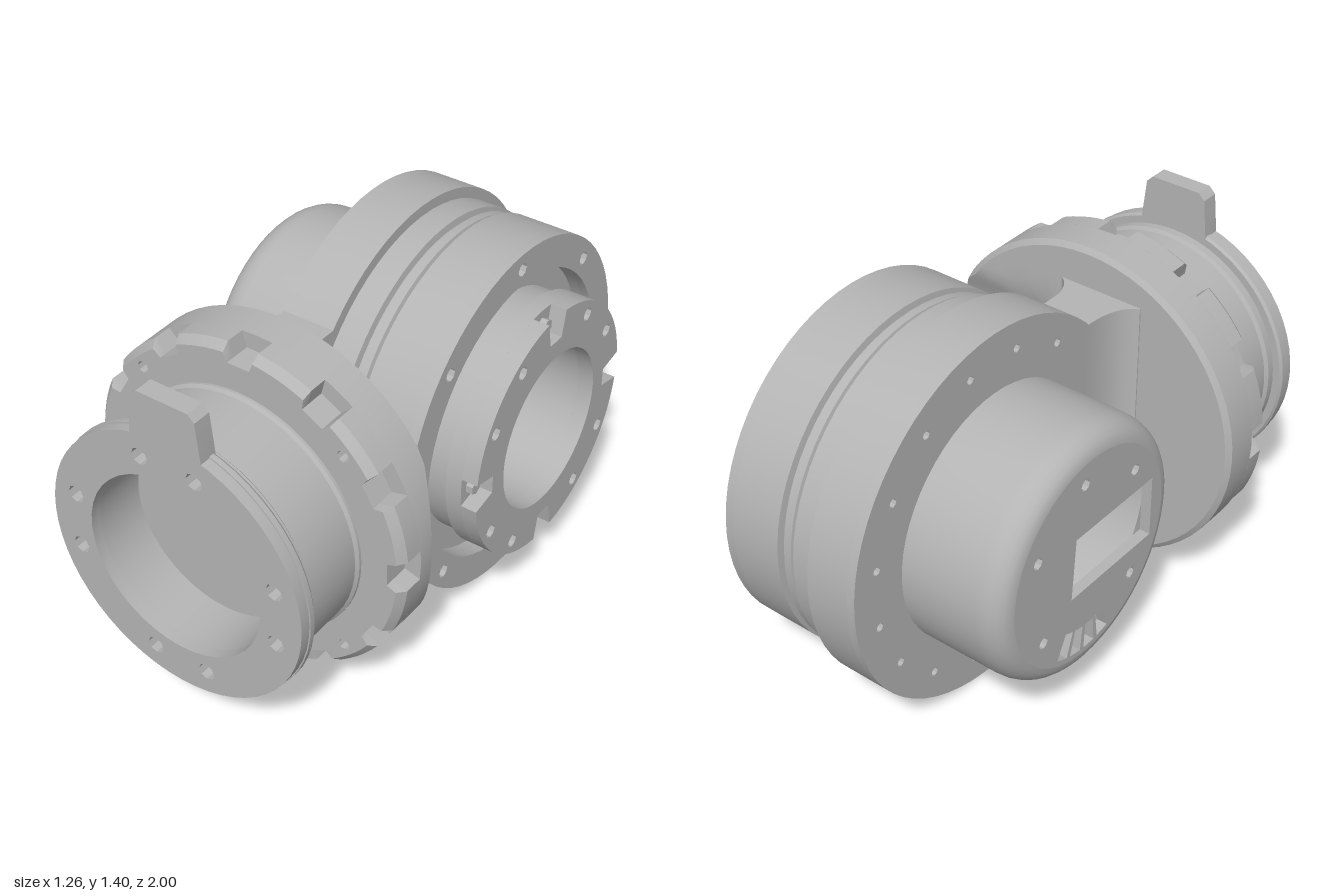
import * as THREE from 'three';
import { toCreasedNormals } from 'three/addons/utils/BufferGeometryUtils.js';

const TAU = Math.PI * 2;
const grey = new THREE.MeshStandardMaterial({ color: 0xb4b4b4 });
grey.name = 'machined grey';

function add(parent, name, geometry) {
  const mesh = new THREE.Mesh(toCreasedNormals(geometry, 0.5), grey);
  mesh.name = name;
  parent.add(mesh);
  return mesh;
}

// Turned part around local z; profile points are [radius, z], counter-clockwise.
function turned(profile, segments = 56) {
  const pts = profile.map(([r, z]) => new THREE.Vector2(r, z));
  return new THREE.LatheGeometry(pts, segments).rotateX(Math.PI / 2);
}

function polar(r, a) {
  return new THREE.Vector2(r * Math.cos(a), r * Math.sin(a));
}

function circle(r, n = 56, x = 0, y = 0) {
  return Array.from({ length: n }, (_, i) => polar(r, (i / n) * TAU).add(new THREE.Vector2(x, y)));
}

// Circular outline with evenly spaced rim notches.
function notched(R, r, count, half) {
  const pts = [];
  const step = TAU / count;
  const arcs = Math.ceil(56 / count);
  for (let k = 0; k < count; k++) {
    const a = k * step;
    pts.push(polar(r, a - half * 0.8), polar(r, a + half * 0.8));
    for (let i = 0; i <= arcs; i++) pts.push(polar(R, a + half + (i / arcs) * (step - 2 * half)));
  }
  return pts;
}

// Round holes at the given angles on a bolt circle.
function boltHoles(radius, angles, size) {
  return angles.map((a) => {
    const c = polar(radius, a);
    return circle(size, 8, c.x, c.y);
  });
}

function arcSlot(r0, r1, a0, a1, n = 5) {
  const pts = [];
  for (let i = 0; i <= n; i++) pts.push(polar(r1, a0 + ((a1 - a0) * i) / n));
  for (let i = n; i >= 0; i--) pts.push(polar(r0, a0 + ((a1 - a0) * i) / n));
  return pts;
}

const spread = (n, offset = 0) => Array.from({ length: n }, (_, i) => offset + (i / n) * TAU);

// Flat part with holes, from z0 to z1.
function plate(outline, holes, z0, z1) {
  const shape = new THREE.Shape(outline);
  shape.holes = holes.map((h) => new THREE.Path(h));
  return new THREE.ExtrudeGeometry(shape, { depth: z1 - z0, bevelEnabled: false }).translate(0, 0, z0);
}

// Sideways rotary unit; its local z runs along the model's x.
function buildCrossUnit() {
  const unit = new THREE.Group();
  unit.name = 'crossUnit';
  unit.rotation.y = Math.PI / 2;
  unit.position.set(0, 0.7, -0.3);

  add(unit, 'crossHousing', turned([
    [0.3, -0.12], [0.7, -0.12], [0.7, 0.05], [0.66, 0.05], [0.66, 0.15], [0.635, 0.155],
    [0.635, 0.165], [0.65, 0.17], [0.65, 0.2], [0.635, 0.205], [0.635, 0.215], [0.66, 0.22],
    [0.66, 0.42], [0.54, 0.42], [0.54, 0.38], [0.45, 0.38], [0.45, 0.48], [0.47, 0.48],
    [0.47, 0.54], [0.3, 0.54], [0.3, -0.12],
  ], 64));
  add(unit, 'backPlate', plate(circle(0.7, 64),
    [circle(0.3), ...boltHoles(0.6, spread(16, TAU / 32), 0.016)], -0.15, -0.12));
  add(unit, 'outerBoltRing', plate(circle(0.66, 64),
    [circle(0.54), ...boltHoles(0.6, spread(8), 0.026)], 0.42, 0.455));

  // Output ring with four open pockets between the bolt holes
  const bolts = spread(12).filter((_, i) => i % 3 !== 0);
  add(unit, 'outputRing', plate(notched(0.47, 0.37, 4, 0.12),
    [circle(0.3), ...boltHoles(0.42, bolts, 0.026)], 0.54, 0.6));
  for (const a of spread(4)) {
    const p = polar(0.415, a);
    const bolt = new THREE.CylinderGeometry(0.027, 0.027, 0.03, 6).rotateX(Math.PI / 2);
    add(unit, 'pocketBolt', bolt.translate(p.x, p.y, 0.55));
  }

  // Floor inside the bore
  add(unit, 'boreFloor', plate(circle(0.302),
    [circle(0.11, 14), arcSlot(0.25, 0.285, Math.PI - 0.45, Math.PI + 0.45)], -0.13, -0.1));
  add(unit, 'boreRim', plate(circle(0.245, 14), [circle(0.215, 14)], -0.1, -0.06));

  // Hollow rounded end cap
  const profile = [[0.44, -0.15], [0.44, -0.45], [0.38, -0.51], [0.4, -0.55]];
  for (let i = 1; i <= 6; i++) {
    const t = (i / 6) * (Math.PI / 2);
    profile.push([0.4 + 0.075 * Math.sin(t), -0.45 - 0.1 * Math.cos(t)]);
  }
  profile.push([0.475, -0.15], [0.44, -0.15]);
  add(unit, 'endCap', turned(profile));

  // Cap face: access window, screw holes and a fan of vents
  const windowHole = [[-0.34, -0.12], [0.1, -0.12], [0.08, 0.12], [-0.34, 0.12]]
    .map(([x, y]) => new THREE.Vector2(x, y));
  const vents = [0, 1, 2, 3].map((i) => arcSlot(0.28, 0.38, -1.85 + i * 0.2, -1.7 + i * 0.2, 2));
  add(unit, 'capFace', plate(circle(0.4),
    [windowHole, ...vents, ...boltHoles(0.32, [0.5, 1.45, 2.4, 3.9, 5.6], 0.022)], -0.55, -0.51));
  return unit;
}

// Front-facing rotary unit along z.
function buildFrontUnit() {
  const unit = new THREE.Group();
  unit.name = 'frontUnit';
  unit.position.y = 0.7;

  // Collar, relieved on its left rear to clear the cross housing
  const back = [0, 0.1, 0.2, 0.3, 0.4, 0.5, 0.56, 0.61].map((r) => [r, 0.4]);
  const collar = turned([...back, [0.63, 0.415], [0.63, 0.54], [0, 0.54]], 64);
  const cp = collar.attributes.position;
  for (let i = 0; i < cp.count; i++) {
    const y = cp.getY(i);
    if (cp.getX(i) > 0.06 && cp.getZ(i) < 0.5) {
      cp.setZ(i, Math.max(cp.getZ(i), -0.3 + Math.sqrt(0.78 * 0.78 - y * y)));
    }
  }
  add(unit, 'collar', collar);

  // Notched front half of the collar with a chamfered rim
  const crown = plate(notched(0.63, 0.57, 12, 0.095),
    [circle(0.45), ...boltHoles(0.566, spread(4, TAU / 8), 0.022)], 0.54, 0.61);
  add(unit, 'notchedCollar', crown);
  const chamfer = plate(notched(0.63, 0.57, 12, 0.095),
    [circle(0.45), ...boltHoles(0.566, spread(4, TAU / 8), 0.022)], 0.61, 0.64);
  const p = chamfer.attributes.position;
  for (let i = 0; i < p.count; i++) {
    const r = Math.hypot(p.getX(i), p.getY(i));
    if (p.getZ(i) > 0.63 && r > 0.62) p.setXY(i, (p.getX(i) * 0.605) / r, (p.getY(i) * 0.605) / r);
  }
  add(unit, 'collarChamfer', chamfer);

  add(unit, 'neck', turned([
    [0.47, 0.54], [0.47, 0.65], [0.46, 0.66], [0.46, 0.89], [0.472, 0.9], [0.472, 0.93],
    [0.5, 0.93], [0.508, 0.94], [0.508, 0.96], [0.345, 0.96], [0.345, 0.77], [0, 0.77],
  ]));
  const pairs = spread(4).flatMap((a) => [a - TAU / 24, a + TAU / 24]);
  add(unit, 'frontFlange', plate(circle(0.503),
    [circle(0.345, 40), ...boltHoles(0.415, pairs, 0.032)], 0.96, 1));

  // Locating tab on top of the flange
  const half = [[0.14, 0.46], [0.14, 0.49], [0.125, 0.63], [0.1, 0.655]];
  const tab = [...half, ...half.map(([x, y]) => [-x, y]).reverse()];
  add(unit, 'locatingTab', plate(tab.map(([x, y]) => new THREE.Vector2(x, y)), [], 0.93, 1));
  return unit;
}

// Flared web joining the two units
function buildBracket(parent) {
  const s = new THREE.Shape();
  s.moveTo(-0.15, -0.41);
  s.lineTo(-0.23, -0.41);
  s.lineTo(-0.23, -0.395);
  s.quadraticCurveTo(-0.15, -0.36, -0.15, -0.2);
  s.lineTo(-0.15, -0.1);
  s.lineTo(0.05, -0.1);
  s.lineTo(0.05, -0.3);
  s.quadraticCurveTo(0.06, -0.37, 0.11, -0.4);
  s.lineTo(0.11, -0.48);
  s.lineTo(-0.15, -0.48);
  const geometry = new THREE.ExtrudeGeometry(s, { depth: 0.96, bevelEnabled: false });
  add(parent, 'joiningBracket', geometry.rotateX(-Math.PI / 2).translate(0, 0.22, 0));
}

export function createModel() {
  const model = new THREE.Group();
  model.name = 'rotaryJoint';
  model.add(buildCrossUnit(), buildFrontUnit());
  buildBracket(model);
  return model;
}
